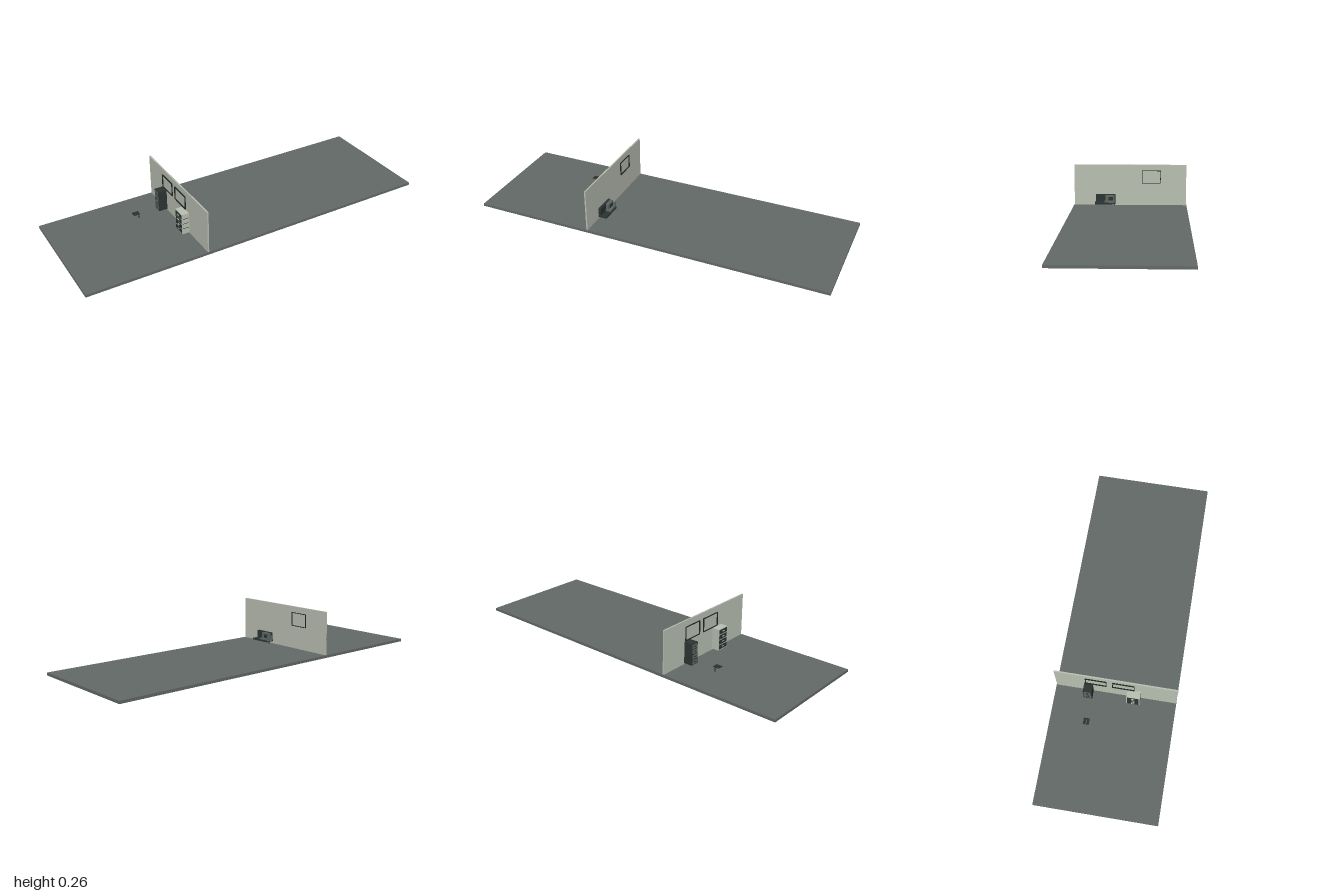
import * as THREE from 'three';

const paint = (name, color) => {
  const m = new THREE.MeshStandardMaterial({ color });
  m.name = name;
  return m;
};

export function createModel() {
  const floorGrey = paint('floor grey', 0x626a68);
  const wallCream = paint('pale wall', 0xbac0b3);
  const darkSlate = paint('dark slate', 0x2c3533);
  const frameBlack = paint('frame black', 0x1f2624);
  const cushionGrey = paint('cushion grey', 0x5f6765);
  const root = new THREE.Group();
  root.name = 'roomPartition';

  // Box given by its limits on each axis
  const box = (name, mat, [x0, x1], [y0, y1], [z0, z1], parent = root) => {
    const mesh = new THREE.Mesh(new THREE.BoxGeometry(x1 - x0, y1 - y0, z1 - z0), mat);
    mesh.position.set((x0 + x1) / 2, (y0 + y1) / 2, (z0 + z1) / 2);
    mesh.name = name;
    parent.add(mesh);
    return mesh;
  };
  const group = (name) => {
    const g = new THREE.Group();
    g.name = name;
    root.add(g);
    return g;
  };

  // Floor and dividing wall
  box('floor', floorGrey, [-1, 1], [0, 0.015], [-0.333, 0.333]);
  box('wall', wallCream, [-0.338, -0.33], [0.015, 0.256], [-0.33, 0.33]);

  // Open picture frames: one on the left side of the wall, two on the right side
  const frame = (x, z0, z1) => {
    const g = group('pictureFrame');
    const t = 0.003, y0 = 0.145, y1 = 0.222;
    box('frameBottom', frameBlack, x, [y0, y0 + t], [z0, z1], g);
    box('frameTop', frameBlack, x, [y1 - t, y1], [z0, z1], g);
    box('frameSide', frameBlack, x, [y0 + t, y1 - t], [z0, z0 + t], g);
    box('frameSide', frameBlack, x, [y0 + t, y1 - t], [z1 - t, z1], g);
  };
  frame([-0.33, -0.324], -0.18, -0.07);
  frame([-0.344, -0.338], -0.165, -0.05);
  frame([-0.344, -0.338], -0.02, 0.1);

  // Filing cabinets with drawers facing away from the wall
  const cabinet = (name, body, trim, x0, z0, z1) => {
    const g = group(name);
    box('cabinetBody', body, [x0, -0.339], [0.022, 0.142], [z0, z1], g);
    for (let i = 0; i < 4; i++) {
      const y = 0.027 + i * 0.029;
      box('drawerFront', trim, [x0 - 0.002, x0], [y, y + 0.023], [z0 + 0.005, z1 - 0.005], g);
      const zc = (z0 + z1) / 2;
      box('drawerHandle', body, [x0 - 0.005, x0 - 0.002], [y + 0.011, y + 0.014], [zc - 0.009, zc + 0.009], g);
    }
    return g;
  };
  cabinet('darkCabinet', darkSlate, cushionGrey, -0.388, -0.172, -0.125);
  const pale = cabinet('paleCabinet', wallCream, darkSlate, -0.381, 0.062, 0.135);
  for (const y of [0.056, 0.085, 0.114]) {
    box('shelfSeam', darkSlate, [-0.376, -0.343], [y - 0.001, y + 0.001], [0.135, 0.136], pale);
  }

  // Bench with a back board, cushion and end panel
  const bench = group('bench');
  box('benchBase', darkSlate, [-0.329, -0.279], [0.027, 0.036], [0.087, 0.207], bench);
  box('benchBack', darkSlate, [-0.329, -0.314], [0.036, 0.079], [0.089, 0.203], bench);
  box('benchCushion', cushionGrey, [-0.314, -0.284], [0.036, 0.045], [0.09, 0.15], bench);
  box('benchPillow', cushionGrey, [-0.314, -0.298], [0.045, 0.077], [0.092, 0.146], bench);
  box('benchPanel', darkSlate, [-0.298, -0.295], [0.047, 0.067], [0.1, 0.127], bench);
  box('benchEndPanel', cushionGrey, [-0.32, -0.284], [0.032, 0.063], [0.083, 0.088], bench);
  box('benchLeg', frameBlack, [-0.306, -0.302], [0.015, 0.03], [0.092, 0.095], bench);

  // Small stand with two thin slats on a slender post
  const stand = group('smallStand');
  for (const z of [-0.148, -0.13]) {
    box('standSlat', darkSlate, [-0.541, -0.506], [0.047, 0.05], [z, z + 0.014], stand);
  }
  box('standCrossbar', frameBlack, [-0.509, -0.506], [0.046, 0.049], [-0.148, -0.116], stand);
  box('standPost', frameBlack, [-0.509, -0.506], [0.015, 0.047], [-0.133, -0.131], stand);

  return root;
}
